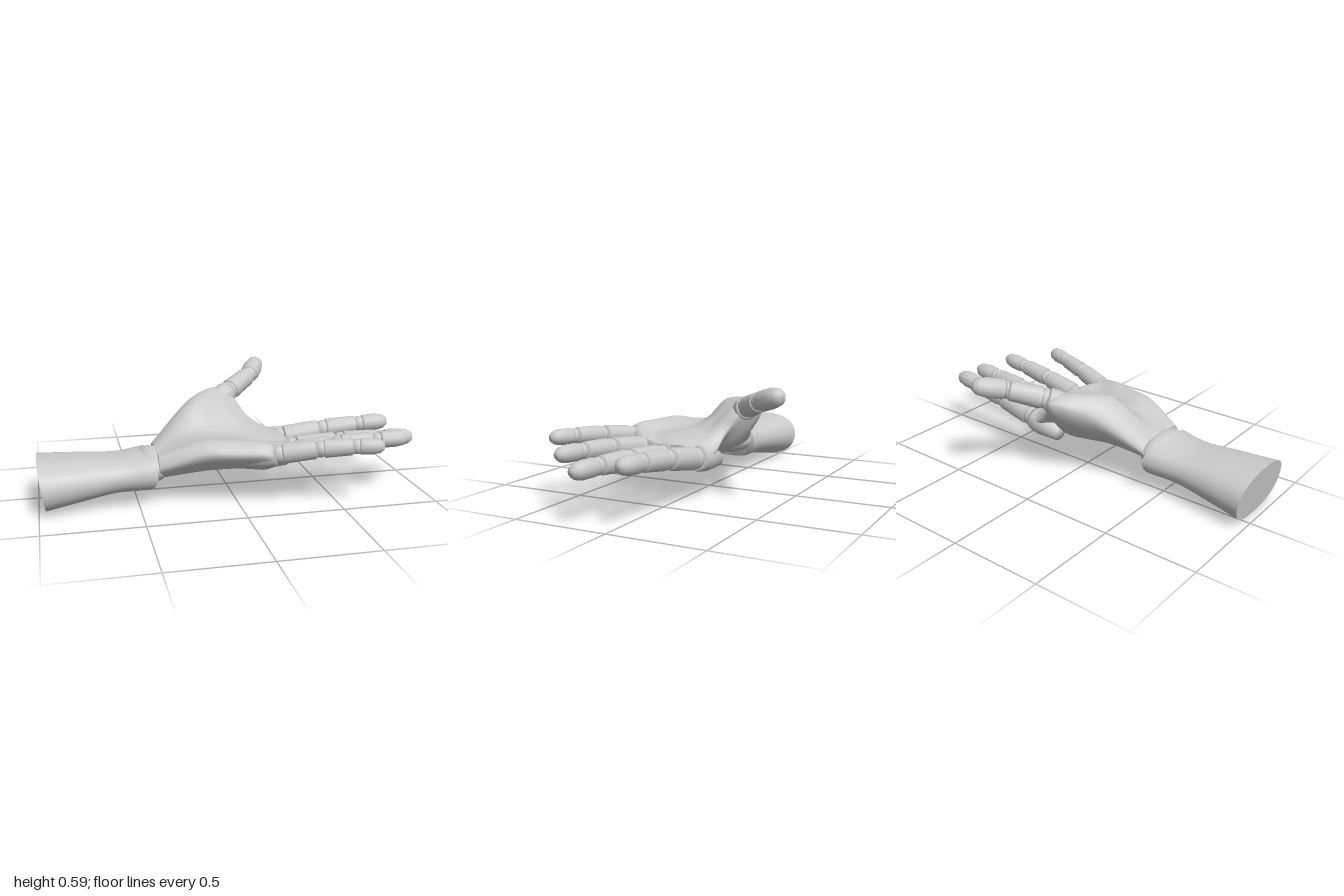
import * as THREE from 'three';

const material = new THREE.MeshStandardMaterial({ color: 0xcccccc, side: THREE.DoubleSide });
const V = (x, y, z) => new THREE.Vector3(x, y, z);
const { lerp } = THREE.MathUtils;

function addMesh(parent, name, geometry) {
  const mesh = new THREE.Mesh(geometry, material);
  mesh.name = name;
  parent.add(mesh);
  return mesh;
}

// Smooth skin through closed cross-sections, each a loop of points
function loft(sections, around, along) {
  const rings = sections.map((points) => {
    const curve = new THREE.CatmullRomCurve3(points, true);
    return Array.from({ length: around }, (_, j) => curve.getPoint(j / around));
  });
  const lines = rings[0].map((_, j) => new THREE.CatmullRomCurve3(rings.map((r) => r[j])));
  const pos = [], index = [];
  for (let i = 0; i <= along; i++) {
    for (let j = 0; j < around; j++) pos.push(...lines[j].getPoint(i / along).toArray());
  }
  for (let i = 0; i < along; i++) {
    for (let j = 0; j < around; j++) {
      const a = i * around + j, b = i * around + (j + 1) % around;
      index.push(a, a + around, b, b, a + around, b + around);
    }
  }
  // flat end caps on their own vertices
  [rings[0], rings[rings.length - 1]].forEach((ring, end) => {
    const start = pos.length / 3, m = start + around;
    const mid = V(0, 0, 0);
    ring.forEach((v) => {
      pos.push(...v.toArray());
      mid.addScaledVector(v, 1 / around);
    });
    pos.push(...mid.toArray());
    for (let j = 0; j < around; j++) {
      const a = start + j, b = start + (j + 1) % around;
      if (end) index.push(a, m, b); else index.push(a, b, m);
    }
  });
  const g = new THREE.BufferGeometry();
  g.setAttribute('position', new THREE.Float32BufferAttribute(pos, 3));
  g.setIndex(index);
  g.computeVertexNormals();
  return g;
}

// Forearm section: a squarish oval; bend shifts x across the section
function ovalSection(x, zMid, zRadius, yMid, yRadius, bend = () => 0) {
  const square = (v) => Math.sign(v) * Math.abs(v) ** 0.85;
  return Array.from({ length: 12 }, (_, i) => {
    const a = (i / 12) * Math.PI * 2;
    const z = zMid - zRadius * square(Math.cos(a));
    const y = yMid - yRadius * square(Math.sin(a));
    return V(x + bend(z, y), y, z);
  });
}

// Palm section: thumb edge, underside, outer edge, then back over the hollow and thumb mound
function palmSection([x, thumbZ, thumbY, outerZ, outerY, under, hollow, moundZ, moundY]) {
  const across = (t, y) => V(x, y, lerp(thumbZ, outerZ, t));
  return [
    across(0, thumbY),
    across(0.17, lerp(under, thumbY, 0.35)),
    across(0.42, under + 0.01),
    across(0.65, under),
    across(0.86, lerp(under, outerY, 0.33)),
    across(1, outerY),
    across(0.91, outerY + 0.055),
    across(0.71, hollow),
    across(0.53, hollow + 0.01),
    V(x, moundY, moundZ),
    V(x, (moundY + thumbY) / 2 + 0.2 * (moundZ - thumbZ), lerp(moundZ, thumbZ, 0.62)),
  ];
}

// Turned piece from a to b; profile holds [radius, fraction of length]
function turned(parent, name, a, b, profile) {
  const dir = b.clone().sub(a), len = dir.length();
  const g = new THREE.LatheGeometry(profile.map(([r, t]) => new THREE.Vector2(r, t * len)), 12);
  const mesh = addMesh(parent, name, g);
  mesh.position.copy(a);
  mesh.quaternion.setFromUnitVectors(V(0, 1, 0), dir.normalize());
}

const socket = (r) => [[0, 0], [r * 0.7, 0], [r * 1.12, 0.6], [r * 1.12, 0.9], [r * 0.95, 1], [0, 0.95]];
const phalanx = (r0, r1) => [[0, 0.03], [r0 * 0.8, 0], [r0, 0.07], [r1, 0.93], [r1 * 0.8, 1], [0, 0.97]];
const fingertip = (r) => [[0, 0.03], [r * 0.8, 0], [r, 0.1], [r, 0.55], [r * 0.85, 0.82], [r * 0.5, 0.97], [0, 1]];

function ball(parent, name, at, r) {
  addMesh(parent, name, new THREE.SphereGeometry(r, 12, 8)).position.copy(at);
}

function addGroup(parent, name) {
  const group = new THREE.Group();
  group.name = name;
  parent.add(group);
  return group;
}

// Finger along a slightly arched line
function addFinger(hand, name, base, tip, r) {
  const finger = addGroup(hand, name);
  const at = (t) => base.clone().lerp(tip, t).add(V(0, 0.012 * Math.sin(Math.PI * t), 0));
  turned(finger, 'knuckleSocket', at(-0.25), at(0.05), socket(r));
  ball(finger, 'knuckleJoint', at(0.07), r * 0.92);
  turned(finger, 'lowerPhalanx', at(0.1), at(0.41), phalanx(r, r * 0.92));
  ball(finger, 'middleJoint', at(0.44), r * 0.82);
  turned(finger, 'middlePhalanx', at(0.46), at(0.73), phalanx(r * 0.9, r * 0.8));
  ball(finger, 'tipJoint', at(0.755), r * 0.72);
  turned(finger, 'fingertip', at(0.77), at(1), fingertip(r * 0.78));
}

export function createModel() {
  const hand = new THREE.Group();
  hand.name = 'jointedHand';

  // forearm, cut slanted at the elbow end and hollowed at the wrist end
  const slant = (z, y) => -0.15 * y;
  const cup = (z) => 0.07 * ((z - 0.11) / 0.19) ** 2;
  addMesh(hand, 'forearm', loft([
    ovalSection(-0.96, 0.112, 0.223, 0.13, 0.13, slant),
    ovalSection(-0.78, 0.11, 0.195, 0.143, 0.109),
    ovalSection(-0.59, 0.107, 0.173, 0.155, 0.09),
    ovalSection(-0.48, 0.11, 0.19, 0.167, 0.097, cup),
  ], 36, 16));

  // wrist joint
  const wrist = addMesh(hand, 'wristJoint', new THREE.SphereGeometry(1, 24, 16));
  wrist.position.set(-0.42, 0.185, 0.11);
  wrist.scale.set(0.095, 0.085, 0.165);

  // palm: x, thumb edge z y, outer edge z y, underside y, hollow y, mound z y
  addMesh(hand, 'palm', loft([
    [-0.4, -0.055, 0.21, 0.275, 0.2, 0.12, 0.26, 0.02, 0.262],
    [-0.18, -0.185, 0.38, 0.355, 0.28, 0.145, 0.335, -0.02, 0.455],
    [-0.06, -0.275, 0.44, 0.39, 0.285, 0.15, 0.325, -0.06, 0.45],
    [0.02, -0.305, 0.45, 0.41, 0.285, 0.15, 0.315, -0.08, 0.425],
    [0.09, -0.23, 0.42, 0.425, 0.285, 0.15, 0.305, -0.07, 0.37],
    [0.14, -0.17, 0.33, 0.425, 0.275, 0.15, 0.3, -0.06, 0.335],
    [0.22, -0.15, 0.24, 0.36, 0.255, 0.155, 0.29, -0.06, 0.3],
    [0.27, -0.14, 0.225, 0.3, 0.235, 0.155, 0.28, -0.06, 0.28],
    [0.31, -0.12, 0.215, 0.17, 0.215, 0.165, 0.265, -0.05, 0.265],
  ].map(palmSection), 55, 32));

  // four fingers
  addFinger(hand, 'indexFinger', V(0.28, 0.21, -0.085), V(0.94, 0.29, -0.035), 0.06);
  addFinger(hand, 'middleFinger', V(0.29, 0.21, 0.1), V(1, 0.255, 0.175), 0.06);
  addFinger(hand, 'ringFinger', V(0.24, 0.235, 0.25), V(0.9, 0.3, 0.33), 0.056);
  addFinger(hand, 'littleFinger', V(0.15, 0.27, 0.365), V(0.69, 0.33, 0.525), 0.053);

  // thumb
  const thumb = addGroup(hand, 'thumb');
  const root = V(0.07, 0.455, -0.255), bend = V(0.225, 0.512, -0.392);
  turned(thumb, 'thumbSocket', V(-0.05, 0.4, -0.15), root, socket(0.056));
  ball(thumb, 'thumbBaseJoint', root, 0.054);
  turned(thumb, 'thumbPhalanx', root.clone().lerp(bend, 0.07), root.clone().lerp(bend, 0.93), phalanx(0.058, 0.052));
  ball(thumb, 'thumbTipJoint', bend, 0.046);
  turned(thumb, 'thumbTip', bend, V(0.31, 0.56, -0.54), fingertip(0.053));

  return hand;
}
